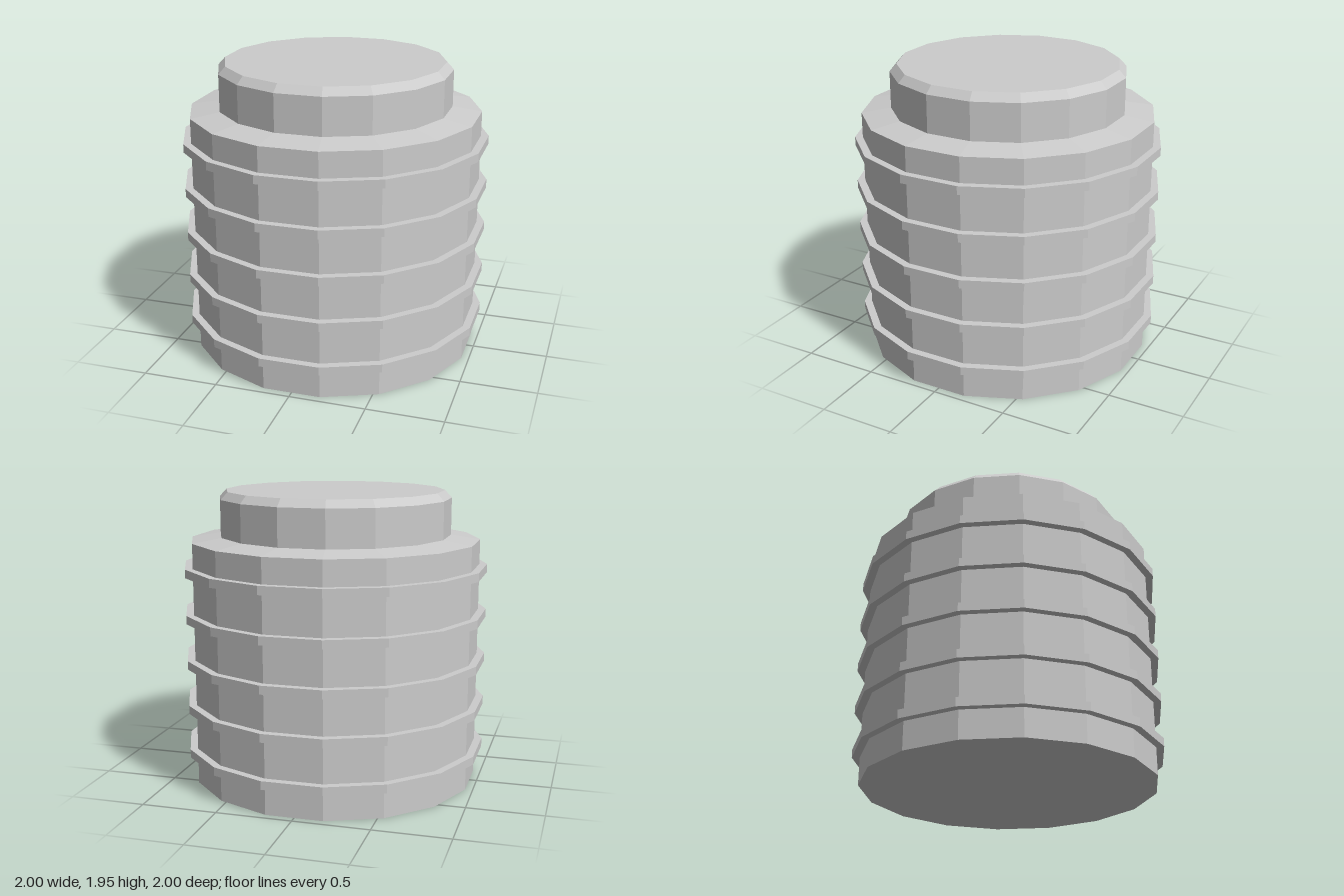
import * as THREE from 'three';

const SIDES = 16;
const CORNER = 1 / Math.cos(Math.PI / SIDES); // flat-to-flat radius -> corner radius

export function createModel() {
  const group = new THREE.Group();
  const grey = new THREE.MeshStandardMaterial({ color: 0xcccccc, flatShading: true });
  grey.name = 'light grey';

  // Sixteen-sided turned part from [radius, height] pairs, flats facing the axes
  function turned(name, profile) {
    const points = profile.map(([r, y]) => new THREE.Vector2(r * CORNER, y));
    const geometry = new THREE.LatheGeometry(points, SIDES, Math.PI / SIDES);
    const mesh = new THREE.Mesh(geometry, grey);
    mesh.name = name;
    group.add(mesh);
    return mesh;
  }

  // Drum with a slightly sloping shoulder
  turned('body', [[0, 0], [0.95, 0], [0.95, 1.625], [0.76, 1.655]]);

  // Lid with a bevelled top edge
  turned('lid', [[0.76, 1.655], [0.76, 1.9], [0.715, 1.95], [0, 1.95]]);

  // Evenly spaced raised bands
  for (let i = 0; i < 5; i++) {
    const band = turned(`band${i + 1}`, [[0.95, -0.028], [1, -0.028], [1, 0.028], [0.95, 0.028]]);
    band.position.y = 0.212 + i * 0.305;
  }

  return group;
}
